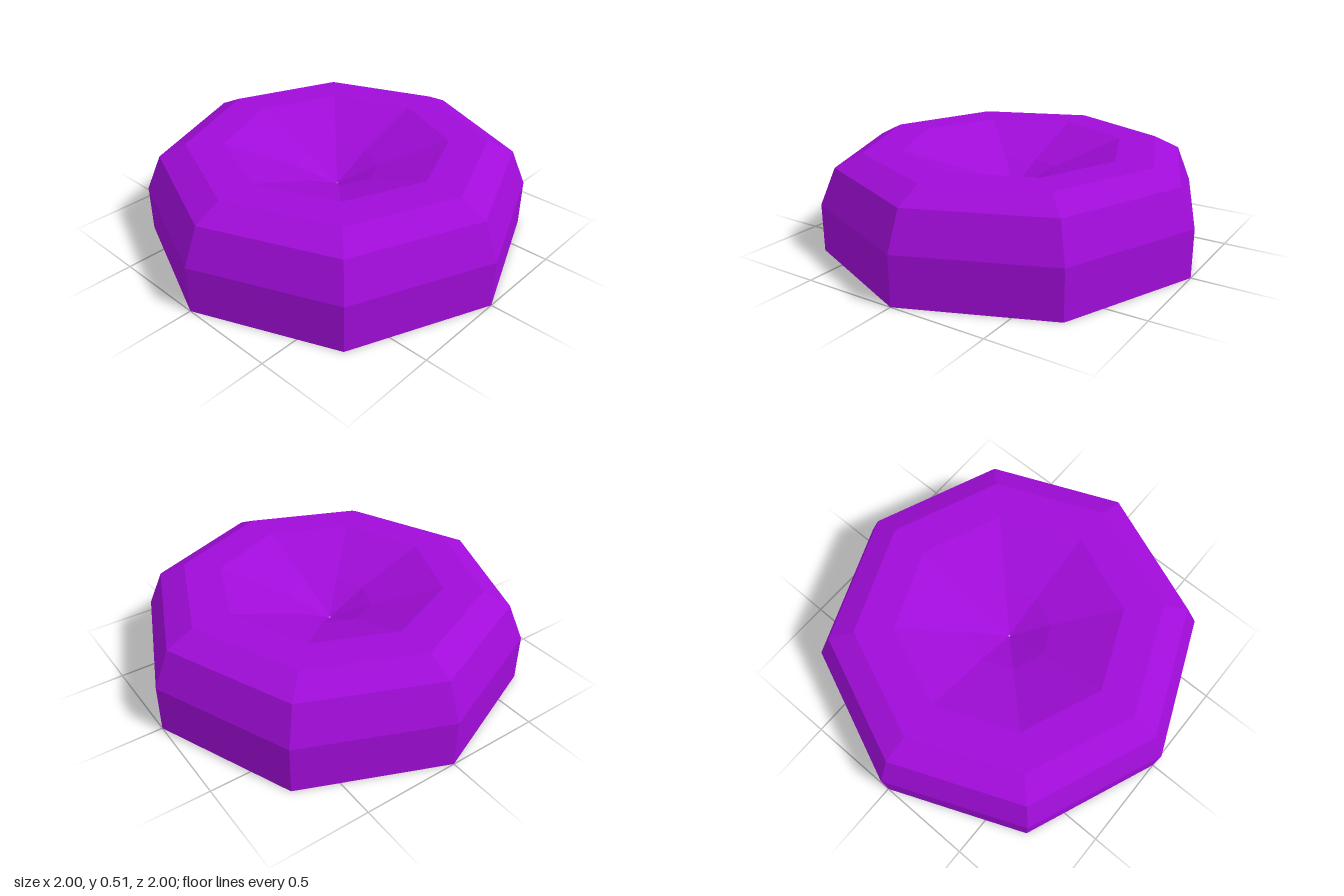
import * as THREE from 'three';

export function createModel() {
  const group = new THREE.Group();
  const material = new THREE.MeshStandardMaterial({
    color: 0xa00cd8, flatShading: true, side: THREE.DoubleSide,
  });

  // Thin open shell: wall, shoulder, bevel, flat rim, then the sunken dish
  // ending in a pinhole at its centre. [radius, height]
  const profile = [
    [1, 0], [1, 0.25], [0.92, 0.44], [0.78, 0.51],
    [0.58, 0.51], [0.22, 0.375], [0.005, 0.265],
  ].map(([r, y]) => new THREE.Vector2(r, y));

  const shell = new THREE.Mesh(new THREE.LatheGeometry(profile, 8), material);
  shell.name = 'dishedCapShell';
  group.add(shell);
  return group;
}
